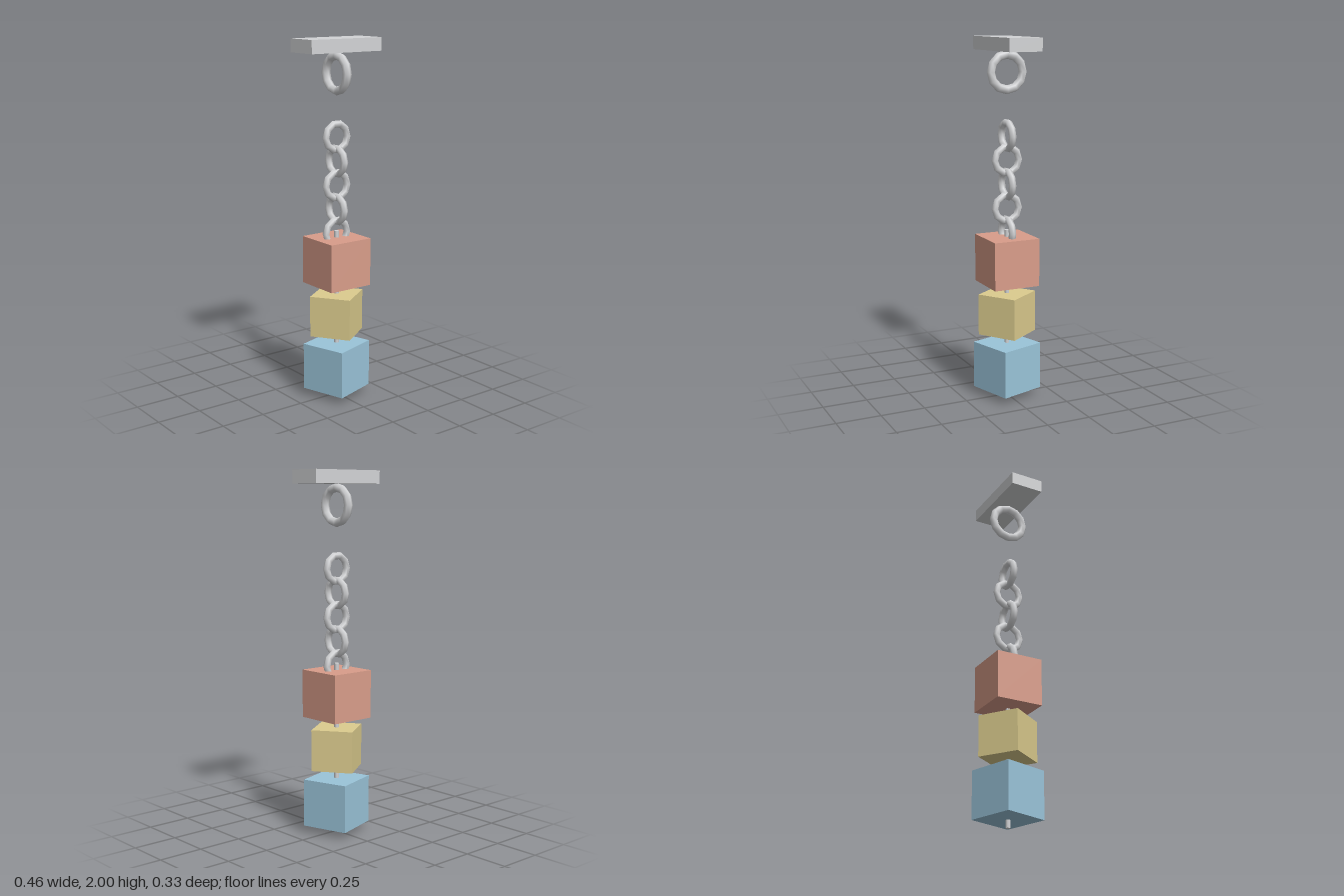
import * as THREE from 'three';

const mat = (name, color) => {
  const m = new THREE.MeshStandardMaterial({ color });
  m.name = name;
  return m;
};

export function createModel() {
  const metal = mat('light metal', 0xd3d4d6);
  const red = mat('clay red', 0xd99d8a);
  const yellow = mat('straw yellow', 0xdccc8e);
  const blue = mat('sky blue', 0x9ac4d9);

  const model = new THREE.Group();
  model.name = 'hangingBlocks';
  const add = (name, geometry, material, y, turn = 0) => {
    const mesh = new THREE.Mesh(geometry, material);
    mesh.name = name;
    mesh.position.y = y;
    mesh.rotation.y = turn;
    model.add(mesh);
  };

  // Mounting plate with its ring
  add('ceilingPlate', new THREE.BoxGeometry(0.458, 0.072, 0.19), metal, 1.964);
  add('plateRing', new THREE.TorusGeometry(0.094, 0.024, 6, 12), metal, 1.814, Math.PI / 2);

  // Chain of links, each turned a quarter from the last
  const link = new THREE.TorusGeometry(0.072, 0.02, 6, 10);
  for (let i = 0; i < 5; i++) {
    add(`chainLink${i + 1}`, link, metal, 1.474 - i * 0.1327, (i % 2) * Math.PI / 2);
  }

  // Rod running through the blocks
  add('rod', new THREE.CylinderGeometry(0.0135, 0.0135, 0.955, 8), metal, 0.4775);

  // Twisted stack of cubes
  const blocks = [
    ['topBlock', 0.266, red, 0.784, 0],
    ['middleBlock', 0.23, yellow, 0.481, 0.6],
    ['bottomBlock', 0.264, blue, 0.175, 0.3],
  ];
  for (const [name, size, material, y, turn] of blocks) {
    add(name, new THREE.BoxGeometry(size, size, size), material, y, turn);
  }
  return model;
}
